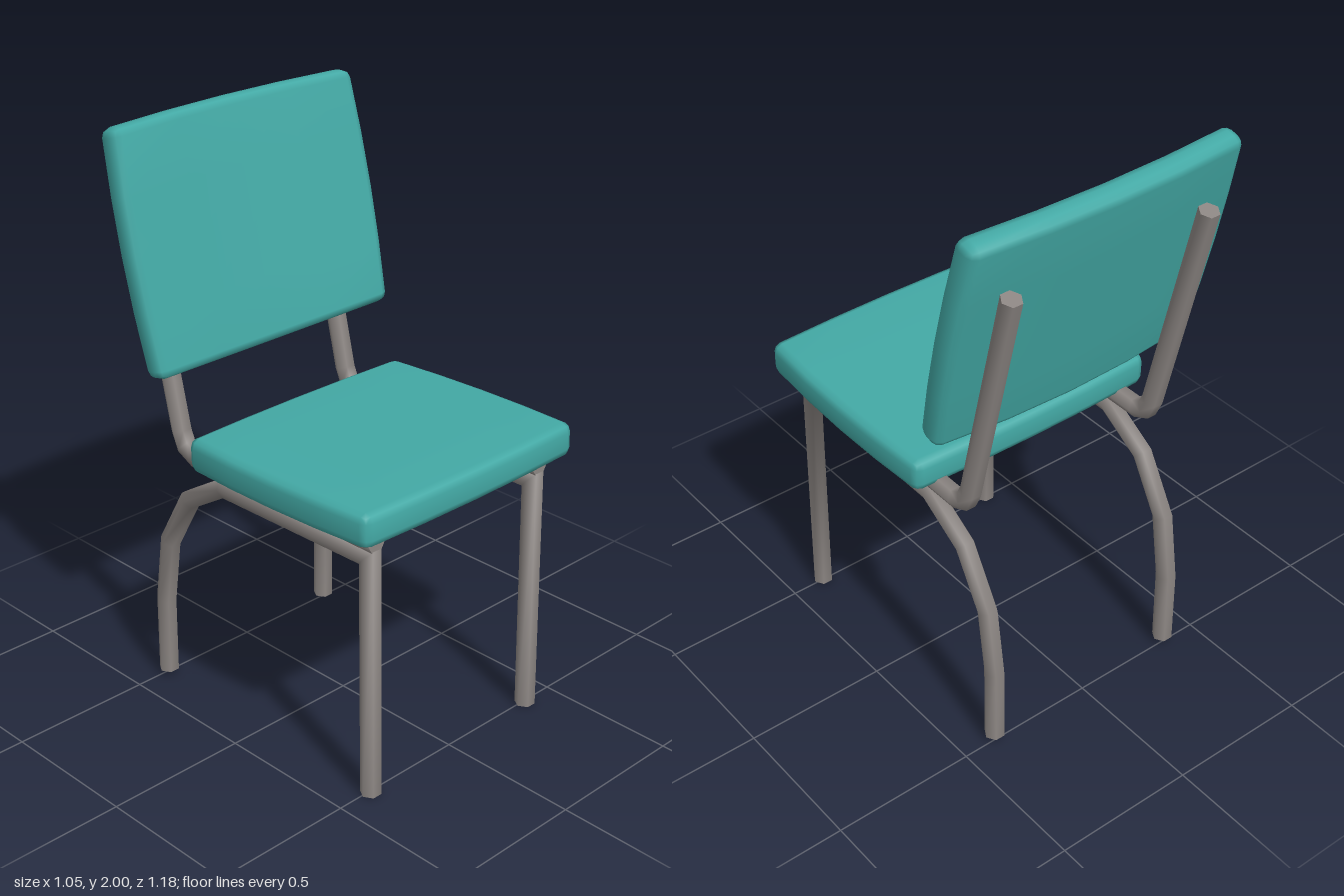
import * as THREE from 'three';
import { mergeVertices } from 'three/addons/utils/BufferGeometryUtils.js';

const RADIUS = 0.035, SIDES = 6;

// Six-sided tube with mitred bends along a path of [z, y] points.
function tubeGeometry(path) {
  const pts = path.map(([z, y]) => new THREE.Vector3(0, y, z));
  const pos = [], index = [];
  const last = pts.length - 1;
  const dir = (i) => pts[i + 1].clone().sub(pts[i]).normalize();
  const addRing = (i) => {
    const a = dir(Math.max(i - 1, 0)), b = dir(Math.min(i, last - 1));
    const t = a.clone().add(b).normalize();
    const mitre = 1 / t.dot(a);
    const start = pos.length / 3;
    for (let j = 0; j < SIDES; j++) {
      const ang = (j / SIDES) * Math.PI * 2;
      const s = Math.sin(ang) * RADIUS * mitre;
      pos.push(Math.cos(ang) * RADIUS, pts[i].y + t.z * s, pts[i].z - t.y * s);
    }
    return start;
  };
  pts.forEach((_, i) => addRing(i));
  for (let i = 0; i < last; i++) {
    for (let j = 0; j < SIDES; j++) {
      const k = (j + 1) % SIDES;
      const a = i * SIDES + j, b = i * SIDES + k;
      index.push(a, b, b + SIDES, a, b + SIDES, a + SIDES);
    }
  }
  // End caps on their own vertices, so the rims stay sharp
  for (const i of [0, last]) {
    const s = addRing(i);
    for (let j = 1; j < SIDES - 1; j++) {
      if (i === 0) index.push(s, s + j + 1, s + j);
      else index.push(s, s + j, s + j + 1);
    }
  }
  const geo = new THREE.BufferGeometry();
  geo.setAttribute('position', new THREE.Float32BufferAttribute(pos, 3));
  geo.setIndex(index);
  geo.computeVertexNormals();
  return geo;
}

// Soft-edged pad: half sizes h, edge radius r, bowed outline and a bend across x.
function cushionGeometry({ h, r, bowX, bowY, bend }) {
  const segs = [6, 6, 3];
  let geo = new THREE.BoxGeometry(2, 2, 2, ...segs);
  geo.deleteAttribute('normal');
  geo.deleteAttribute('uv');
  geo = mergeVertices(geo);
  const p = geo.attributes.position;
  for (let i = 0; i < p.count; i++) {
    const v = [0, 1, 2].map((a) => {
      const n = segs[a], k = Math.round(((p.getComponent(i, a) + 1) / 2) * n);
      if (k === 0) return -h[a];
      if (k === n) return h[a];
      return (h[a] - r) * ((2 * (k - 1)) / (n - 2) - 1);
    });
    // Round the edges and corners
    const inner = v.map((c, a) => THREE.MathUtils.clamp(c, r - h[a], h[a] - r));
    const d = new THREE.Vector3(...v.map((c, a) => c - inner[a])).setLength(r);
    const x = inner[0] + d.x, y = inner[1] + d.y, z = inner[2] + d.z;
    // Bow the outline and bend the pad
    const u = (x / h[0]) ** 2, w = (y / h[1]) ** 2;
    p.setXYZ(i, x * (1 - bowX * w), y * (1 - bowY * u), z + bend * u);
  }
  geo.computeVertexNormals();
  return geo;
}

export function createModel() {
  const upholstery = new THREE.MeshStandardMaterial({ color: 0x43a9a5 });
  upholstery.name = 'teal upholstery';
  const metal = new THREE.MeshStandardMaterial({ color: 0x8c8683 });
  metal.name = 'grey metal';

  const model = new THREE.Group();
  model.name = 'chair';
  const add = (name, geo, mat) => {
    const mesh = new THREE.Mesh(geo, mat);
    mesh.name = name;
    model.add(mesh);
    return mesh;
  };

  // Seat pad, slightly raised at the front
  const seat = add('seat', cushionGeometry({
    h: [0.488, 0.414, 0.058], r: 0.03, bowX: 0.035, bowY: 0.03, bend: 0,
  }), upholstery);
  seat.position.set(0, 0.982, 0.176);
  seat.rotation.x = -Math.PI / 2 - 0.022;

  // Backrest, leaning back with its sides curved forward
  const backrest = add('backrest', cushionGeometry({
    h: [0.523, 0.41, 0.044], r: 0.03, bowX: 0.032, bowY: 0.02, bend: 0.026,
  }), upholstery);
  backrest.position.set(0, 1.593, -0.45);
  backrest.rotation.x = -0.236;

  // Bent tubes on each side: front leg to back leg, and seat rail to back support
  const legs = tubeGeometry([
    [0.507, 0], [0.497, 0.853], [-0.165, 0.845], [-0.34, 0.738],
    [-0.453, 0.541], [-0.488, 0.302], [-0.49, 0.02],
  ]);
  const rail = tubeGeometry([
    [0.525, 0.907], [-0.3, 0.907], [-0.35, 0.931], [-0.372, 0.98], [-0.562, 1.785],
  ]);
  for (const [side, x] of [['left', 0.373], ['right', -0.373]]) {
    add(`${side}Legs`, legs, metal).position.x = x;
    add(`${side}RailAndBackSupport`, rail, metal).position.x = x;
  }
  return model;
}
